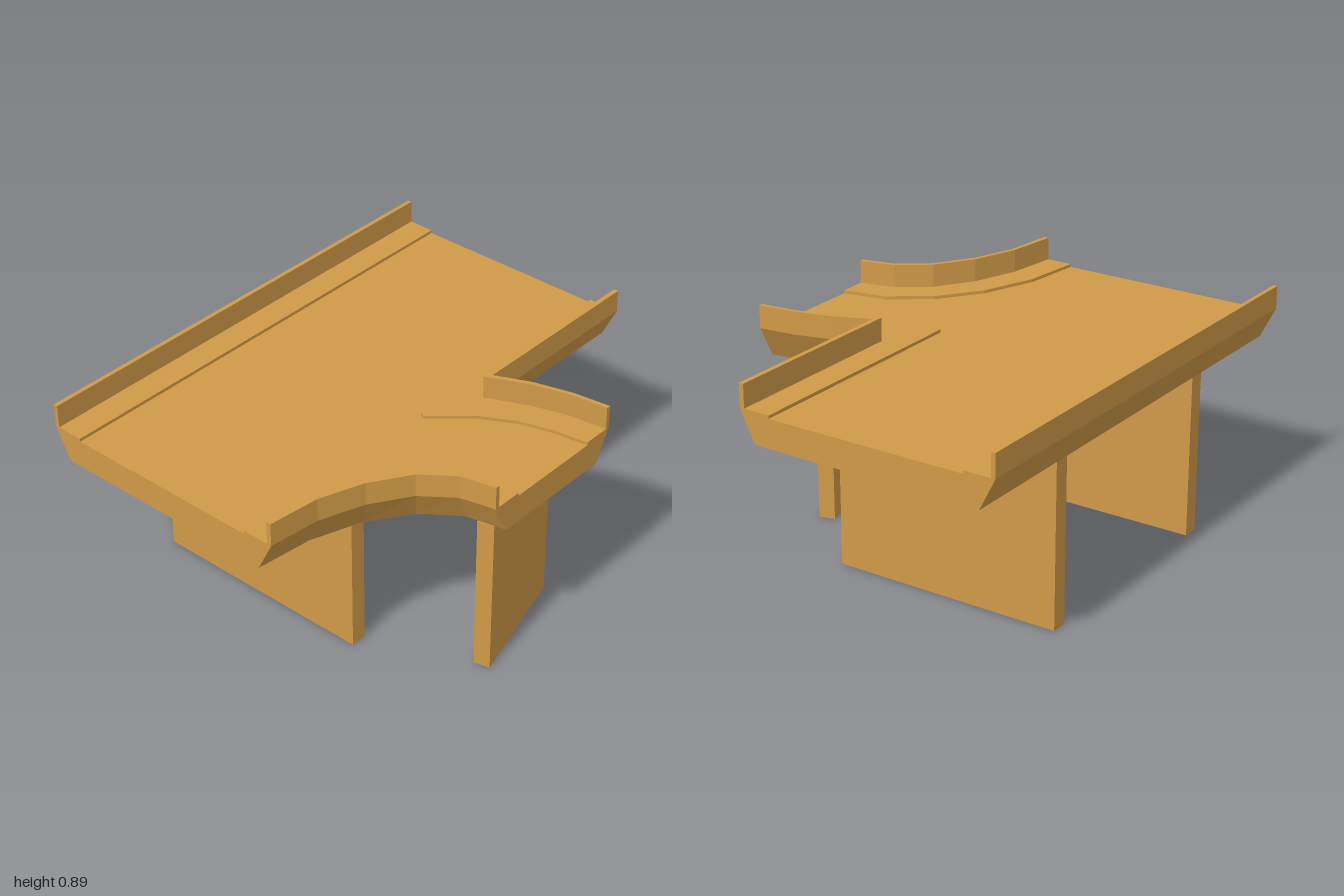
import * as THREE from 'three';

const material = new THREE.MeshStandardMaterial({ color: 0xd09a48, flatShading: true });

// Heights
const BOTTOM = 0.67, CURB = 0.8, ROAD = 0.787, TOP = 0.895;

// Each edge in plan [x, z]: b = underside, o = outer wall, i = inner wall, c = curb line.
// Edges run so that the outside lies on the right.
const leftEdge = {
  b: [[-0.71, -1], [-0.71, 1]],
  o: [[-0.775, -1], [-0.775, 1]],
  i: [[-0.757, -1], [-0.757, 1]],
  c: [[-0.645, -1], [-0.645, 1]],
};
const frontEdge = {
  b: [[0.257, 1], [0.285, 0.77], [0.357, 0.567], [0.47, 0.403], [0.615, 0.298], [0.775, 0.265]],
  o: [[0.322, 1], [0.346, 0.79], [0.411, 0.61], [0.51, 0.456], [0.635, 0.362], [0.775, 0.33]],
  i: [[0.302, 1], [0.33, 0.785], [0.397, 0.595], [0.5, 0.44], [0.627, 0.347], [0.775, 0.312]],
  c: [[0.19, 1], [0.218, 0.75], [0.303, 0.523], [0.43, 0.35], [0.595, 0.235], [0.775, 0.2]],
};
const backEdge = {
  b: [[0.775, -0.267], [0.628, -0.25], [0.482, -0.208], [0.34, -0.14], [0.257, -0.09], [0.257, -0.09], [0.257, -1]],
  o: [[0.775, -0.335], [0.622, -0.315], [0.463, -0.272], [0.322, -0.21], [0.322, -0.21], [0.322, -0.21], [0.322, -1]],
  i: [[0.775, -0.317], [0.625, -0.3], [0.47, -0.255], [0.302, -0.18], [0.302, -0.18], [0.302, -0.18], [0.302, -1]],
  c: [[0.775, -0.205], [0.633, -0.185], [0.5, -0.146], [0.363, -0.072], [0.21, 0.06], [0.19, 0.05], [0.19, -1]],
};
const edges = [leftEdge, frontEdge, backEdge];

// Rim cross-section at one station, from underside round to road
function section(e, s) {
  const at = (line, y) => new THREE.Vector3(e[line][s][0], y, e[line][s][1]);
  return [at('b', BOTTOM), at('o', CURB), at('o', TOP), at('i', TOP), at('i', CURB), at('c', CURB), at('c', ROAD)];
}

function meshFrom(points, name) {
  const geometry = new THREE.BufferGeometry().setFromPoints(points);
  geometry.computeVertexNormals();
  const mesh = new THREE.Mesh(geometry, material);
  mesh.name = name;
  return mesh;
}

// Sweep the rim section along an edge
function rim(e, name) {
  const points = [];
  for (let s = 0; s < e.b.length - 1; s++) {
    const p = section(e, s), q = section(e, s + 1);
    for (let k = 0; k < p.length - 1; k++) {
      points.push(p[k], q[k], q[k + 1], p[k], q[k + 1], p[k + 1]);
    }
  }
  return meshFrom(points, name);
}

// Flat polygon filled to face along the given normal
function face(corners, normal, name) {
  const flat = corners.map((p) =>
    normal.y ? new THREE.Vector2(p.x, p.z) : normal.x ? new THREE.Vector2(p.z, p.y) : new THREE.Vector2(p.x, p.y));
  const points = [];
  for (const [a, b, c] of THREE.ShapeUtils.triangulateShape(flat, [])) {
    const [A, B, C] = [corners[a], corners[b], corners[c]];
    const n = B.clone().sub(A).cross(C.clone().sub(A));
    if (n.dot(normal) > 0) points.push(A, B, C);
    else points.push(A, C, B);
  }
  return meshFrom(points, name);
}

// Closed plan outline made of one line from every edge
function outline(line, y) {
  const loop = edges.flatMap((e) => e[line]).map(([x, z]) => new THREE.Vector3(x, y, z));
  return loop.filter((p, n) => n === 0 || p.distanceTo(loop[n - 1]) > 1e-6);
}

// Open end of the deck between the end of one edge and the start of the next
function endFace(from, to, normal, name) {
  return face([...section(from, from.b.length - 1), ...section(to, 0).reverse()], normal, name);
}

function pier(name, width, depth, x, z, turn = 0) {
  const mesh = new THREE.Mesh(new THREE.BoxGeometry(width, BOTTOM, depth), material);
  mesh.position.set(x, BOTTOM / 2, z);
  mesh.rotation.y = turn;
  mesh.name = name;
  return mesh;
}

export function createModel() {
  const model = new THREE.Group();
  model.name = 'elevatedRoadJunction';

  // Deck
  const deck = new THREE.Group();
  deck.name = 'deck';
  const V = (x, y, z) => new THREE.Vector3(x, y, z);
  deck.add(
    rim(leftEdge, 'straightParapet'),
    rim(frontEdge, 'frontCurvedParapet'),
    rim(backEdge, 'backCornerParapet'),
    face(outline('c', ROAD), V(0, 1, 0), 'roadSurface'),
    face(outline('b', BOTTOM), V(0, -1, 0), 'underside'),
    endFace(leftEdge, frontEdge, V(0, 0, 1), 'frontEnd'),
    endFace(frontEdge, backEdge, V(1, 0, 0), 'branchEnd'),
    endFace(backEdge, leftEdge, V(0, 0, -1), 'backEnd'),
  );
  model.add(deck);

  // Wall piers under the main road, and a turned one under the branch
  for (const side of [1, -1]) {
    model.add(pier(side > 0 ? 'frontPier' : 'backPier', 0.967, 0.067, -0.2265, side * 0.483));
  }
  model.add(pier('branchPier', 0.067, 0.528, 0.628, 0.031, Math.atan2(0.14, 0.51)));
  return model;
}
